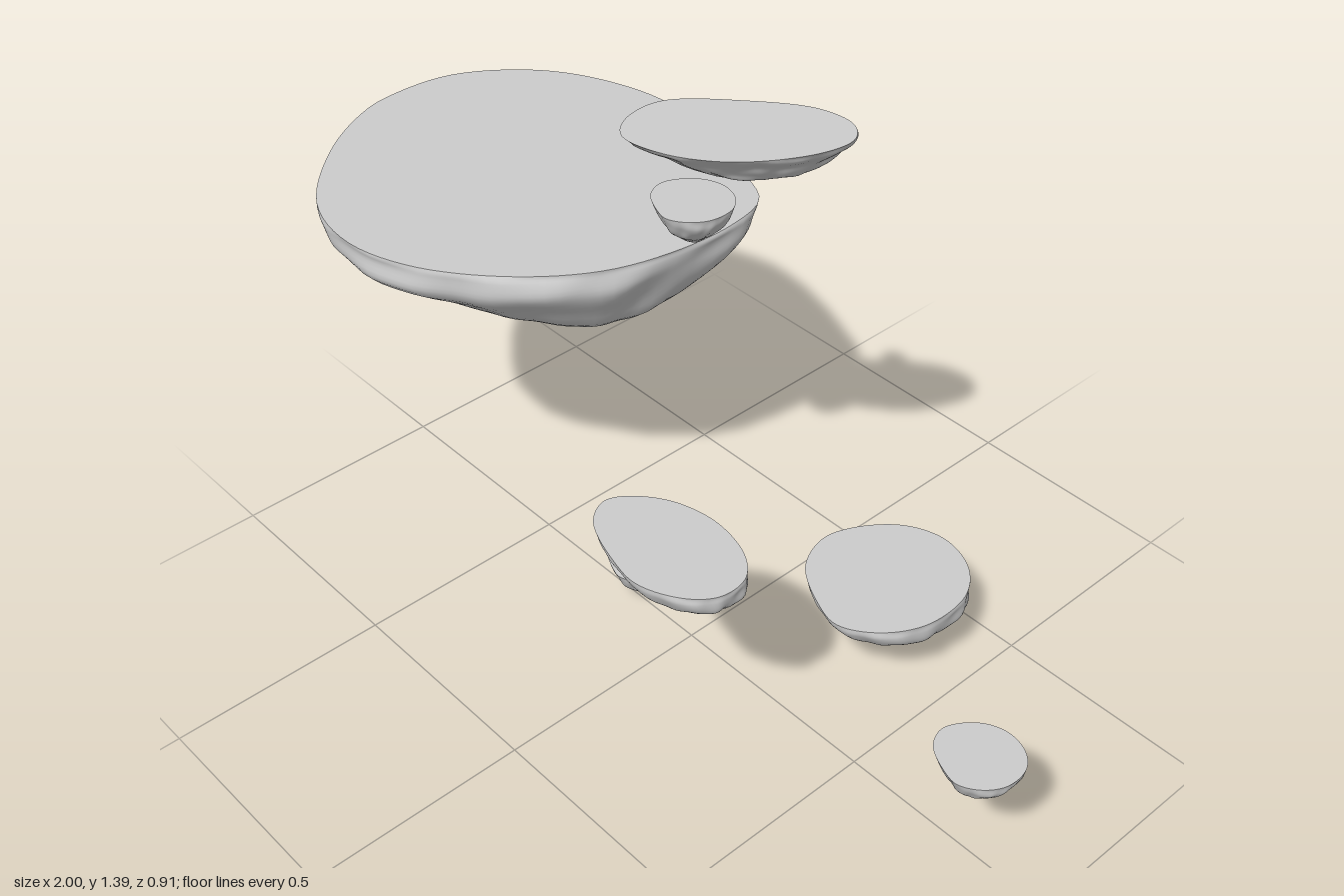
import * as THREE from 'three';

const SEGMENTS = 96; // points around each island
const STEPS = 30;    // rows from rim to tip
const material = new THREE.MeshStandardMaterial({ color: 0xcccccc });

// Rim outlines as (x, z), clockwise seen from above; scaled to each island's box.
const broadRim = [[-1, 0], [-.985, -.16], [-.89, -.3], [-.77, -.385], [-.58, -.44], [-.4, -.42],
  [-.235, -.365], [-.13, -.315], [-.1, -.21], [-.11, -.05], [-.155, .09], [-.26, .23],
  [-.42, .35], [-.58, .395], [-.74, .36], [-.9, .215], [-.98, .08]];
const slantedRim = [[0, .16], [0, .08], [.11, -.03], [.22, -.1], [.3, -.105], [.335, -.07],
  [.325, 0], [.245, .12], [.14, .19], [.04, .205]];
const roundRim = [[.14, -.27], [.165, -.35], [.235, -.43], [.325, -.46], [.42, -.43], [.475, -.36],
  [.48, -.24], [.43, -.15], [.35, -.1], [.27, -.12], [.175, -.18]];

// Rock levels: [depth, x start, x end, z start, z end], all as fractions of the box.
const broadRock = [[0, 0, 1, 0, 1], [.06, .02, 1, .015, 1], [.2, .07, .995, .04, .995],
  [.45, .155, .955, .12, .88], [.7, .22, .89, .24, .77], [.87, .29, .72, .32, .68],
  [.965, .37, .62, .4, .59], [1, .49, .49, .48, .48]];
const slantedRock = [[0, 0, 1, 0, 1], [.15, .005, .98, -.015, .96], [.4, .03, .91, 0, .87],
  [.62, .16, .85, .06, .77], [.82, .33, .78, .14, .65], [.95, .42, .64, .24, .48], [1, .52, .52, .36, .36]];
const mediumRock = [[0, 0, 1, 0, 1], [.12, .03, 1, .01, .99], [.34, .14, .985, .05, .9],
  [.53, .23, .88, .19, .78], [.72, .32, .7, .31, .68], [.9, .4, .56, .41, .56], [1, .47, .47, .48, .48]];
const smallRock = [[0, 0, 1, 0, 1], [.22, .08, .97, .07, .95], [.5, .2, .86, .16, .84],
  [.75, .32, .69, .27, .67], [.93, .42, .58, .36, .52], [1, .48, .48, .43, .43]];

// Smooth closed outline normalised to the 0..1 square.
function normalisedRim(points) {
  const curve = new THREE.CatmullRomCurve3(points.map(([x, z]) => new THREE.Vector3(x, 0, z)), true);
  const rim = curve.getSpacedPoints(SEGMENTS).slice(0, SEGMENTS);
  const box = new THREE.Box3().setFromPoints(rim);
  const size = box.getSize(new THREE.Vector3());
  return rim.map(p => [(p.x - box.min.x) / size.x, (p.z - box.min.z) / size.z]);
}

// Repeatable grooves and ledges, zero at rim and tip.
function roughness(a, t) {
  const fade = Math.sin(Math.PI * Math.min(1, t * 1.02)) ** 0.7;
  return fade * (0.45 * Math.sin(5 * a + 4 * t) + 0.3 * Math.sin(11 * a + 2 * Math.sin(9 * t))
    + 0.2 * Math.sin(19 * a - 7 * t) + 0.3 * Math.sin(17 * t + 2 * Math.sin(3 * a)));
}

function surface(positions, indices) {
  const geometry = new THREE.BufferGeometry();
  geometry.setAttribute('position', new THREE.Float32BufferAttribute(positions, 3));
  geometry.setIndex(indices);
  geometry.computeVertexNormals();
  return geometry;
}

function island({ name, rim, rock, x, y, z, rough = 0.03, tilt = 0 }) {
  const [w, h, d] = [x[1] - x[0], y[1] - y[0], z[1] - z[0]];
  const lerp = THREE.MathUtils.lerp;
  // One curve per rim point, running down the rock to the tip.
  const ribs = normalisedRim(rim).map(([u, v]) => new THREE.CatmullRomCurve3(rock.map(
    ([t, x0, x1, z0, z1]) => new THREE.Vector3(
      x[0] + w * lerp(x0, x1, u),
      y[1] - h * t + tilt * (0.5 - v) * (1 - t),
      z[0] + d * lerp(z0, z1, v)))));
  const tip = ribs[0].getPoint(1);

  const positions = [], indices = [], capPositions = [], capIndices = [];
  for (let i = 0; i <= STEPS; i++) {
    const t = i / STEPS;
    ribs.forEach((rib, j) => {
      const p = rib.getPoint(t);
      const scale = 1 + rough * roughness(j / SEGMENTS * Math.PI * 2, t);
      positions.push(tip.x + (p.x - tip.x) * scale, p.y, tip.z + (p.z - tip.z) * scale);
      if (i === 0) capPositions.push(p.x, p.y, p.z);
      if (i === STEPS) return;
      const k = (j + 1) % SEGMENTS, a = i * SEGMENTS, b = a + SEGMENTS;
      indices.push(a + j, a + k, b + k, a + j, b + k, b + j);
    });
  }
  // Flat top as a fan from the middle.
  capPositions.push(x[0] + w / 2, y[1], z[0] + d / 2);
  for (let j = 0; j < SEGMENTS; j++) capIndices.push(SEGMENTS, (j + 1) % SEGMENTS, j);

  const group = new THREE.Group();
  group.name = name;
  const under = new THREE.Mesh(surface(positions, indices), material);
  under.name = name + 'Rock';
  const top = new THREE.Mesh(surface(capPositions, capIndices), material);
  top.name = name + 'Top';
  group.add(under, top);
  return group;
}

export function createModel() {
  const model = new THREE.Group();
  model.name = 'floatingIslands';
  const medium = { rim: roundRim, rock: mediumRock };
  const small = { rim: roundRim, rock: smallRock, rough: 0.04 };
  const islands = [
    { name: 'mainIsland', rim: broadRim, rock: broadRock, x: [-1, -.1], y: [.665, .944], z: [-.435, .4], tilt: .008, rough: .025 },
    { name: 'highestIsland', rim: slantedRim, rock: slantedRock, x: [0, .34], y: [1.29, 1.385], z: [-.11, .21], tilt: .01, rough: .04 },
    { name: 'frontIsland', ...medium, x: [.14, .48], y: [.56, .69], z: [.235, .455] },
    { name: 'backIsland', ...medium, x: [.14, .48], y: [.068, .224], z: [-.455, -.09] },
    { name: 'tinyIsland', ...small, x: [.015, .085], y: [1.195, 1.243], z: [-.167, -.105] },
    { name: 'upperIslet', ...small, x: [-.1, .065], y: [1.026, 1.126], z: [-.095, .065] },
    { name: 'sideIslet', ...small, x: [.83, 1], y: [.38, .477], z: [.07, .23] },
    { name: 'lowestIslet', ...small, x: [-.265, -.1], y: [0, .103], z: [-.095, .065] },
  ];
  islands.forEach(spec => model.add(island(spec)));
  return model;
}
